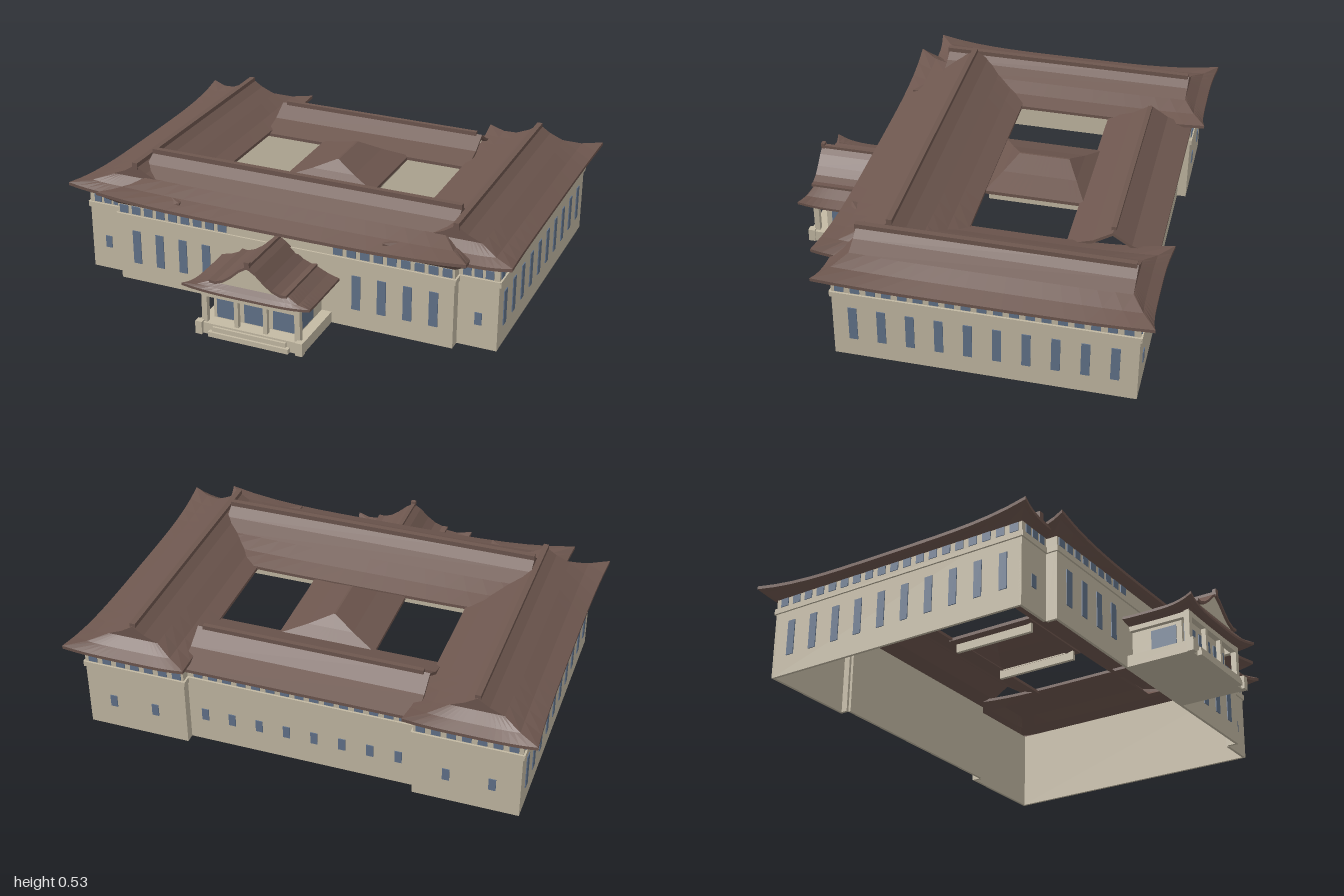
import * as THREE from 'three';

const wallMat = new THREE.MeshStandardMaterial({ color: 0xc4baa4, side: THREE.DoubleSide });
wallMat.name = 'cream stone';
const roofMat = new THREE.MeshStandardMaterial({ color: 0x6e574f, side: THREE.DoubleSide });
roofMat.name = 'brown tile';
const glassMat = new THREE.MeshStandardMaterial({ color: 0x62738b });
glassMat.name = 'blue glass';

function add(group, name, geometry, material, x = 0, y = 0, z = 0) {
  const mesh = new THREE.Mesh(geometry, material);
  mesh.name = name;
  mesh.position.set(x, y, z);
  group.add(mesh);
  return mesh;
}

// box given by its min and max corners
function block(group, name, material, x0, x1, y0, y1, z0, z1) {
  return add(group, name, new THREE.BoxGeometry(x1 - x0, y1 - y0, z1 - z0), material,
    (x0 + x1) / 2, (y0 + y1) / 2, (z0 + z1) / 2);
}

// rectangle ring with corners that flare out and sweep up
function ring([hw, hd, y, flare = 0, lift = 0], n = 16) {
  const pts = [];
  const corners = [[-1, 1], [1, 1], [1, -1], [-1, -1]];
  corners.forEach(([ax, az], i) => {
    const [bx, bz] = corners[(i + 1) % 4];
    for (let k = 0; k < n; k++) {
      const u = ax + (bx - ax) * k / n, v = az + (bz - az) * k / n;
      const c = Math.pow(Math.min(Math.abs(u), Math.abs(v)), 4);
      const grow = (s) => s * (Math.abs(s) === 1 ? c : Math.pow(Math.abs(s), 3)) * flare;
      pts.push([u * hw + grow(u), y + lift * c, v * hd + grow(v)]);
    }
  });
  return pts;
}

// surface through a series of rings, from the wall out to the eave and up
function ringLoft(specs, capTop = true) {
  const rings = specs.map((s) => ring(s)), pos = [];
  for (let r = 0; r + 1 < rings.length; r++) {
    const a = rings[r], b = rings[r + 1], m = a.length;
    for (let i = 0; i < m; i++) {
      const j = (i + 1) % m;
      pos.push(...a[i], ...a[j], ...b[j], ...a[i], ...b[j], ...b[i]);
    }
  }
  if (capTop) {
    const top = rings[rings.length - 1], y = specs[specs.length - 1][2];
    top.forEach((p, i) => pos.push(...p, ...top[(i + 1) % top.length], 0, y, 0));
  }
  const g = new THREE.BufferGeometry();
  g.setAttribute('position', new THREE.Float32BufferAttribute(pos, 3));
  g.computeVertexNormals();
  return g;
}

// symmetric roof profile extruded along z or x; half lists points from ridge to eave
function gable(half, length, thickness, alongX = false) {
  const left = half.slice(1).map(([x, y]) => [-x, y]).reverse();
  const outer = [...left, ...half];
  const pts = thickness
    ? [...outer, ...outer.slice().reverse().map(([x, y]) => [x, y - thickness])]
    : outer;
  const g = new THREE.ExtrudeGeometry(new THREE.Shape(pts.map((p) => new THREE.Vector2(...p))),
    { depth: length, bevelEnabled: false });
  g.translate(0, 0, -length / 2);
  if (alongX) g.rotateY(Math.PI / 2);
  return g;
}

function buildWalls(group) {
  const path = [[-0.935, 0.46], [-0.765, 0.46], [-0.765, 0.51], [0.765, 0.51], [0.765, 0.46], [0.935, 0.46],
    [0.935, -0.78], [0.49, -0.78], [0.49, -0.74], [-0.49, -0.74], [-0.49, -0.78], [-0.935, -0.78]];
  path.forEach(([ax, az], i) => {
    const [bx, bz] = path[(i + 1) % path.length];
    const len = Math.hypot(bx - ax, bz - az), turn = -Math.atan2(bz - az, bx - ax);
    const cx = (ax + bx) / 2, cz = (az + bz) / 2;
    const wall = new THREE.BoxGeometry(len, 0.37, 0.012).translate(0, 0.185, -0.006);
    add(group, 'outerWall', wall, wallMat, cx, 0, cz).rotation.y = turn;
    const band = new THREE.BoxGeometry(len + 0.01, 0.024, 0.016).translate(0, 0.303, 0);
    add(group, 'corniceBand', band, wallMat, cx, 0, cz).rotation.y = turn;
  });
}

function buildWindows(group) {
  const paneZ = (x, w, y0, y1, z) => block(group, 'window', glassMat, x - w / 2, x + w / 2, y0, y1, z - 0.003, z + 0.003);
  const paneX = (z, w, y0, y1, x) => block(group, 'window', glassMat, x - 0.003, x + 0.003, y0, y1, z - w / 2, z + w / 2);
  for (const s of [-1, 1]) {
    // wing sides
    for (let i = 0; i < 10; i++) paneX(0.376 - i * 0.1183, 0.036, 0.086, 0.243, s * 0.936);
    for (let i = 0; i < 19; i++) paneX(0.425 - i * 0.0645, 0.038, 0.32, 0.356, s * 0.936);
    // hall front
    for (let i = 0; i < 4; i++) paneZ(s * (0.68 - i * 0.112), 0.038, 0.085, 0.24, 0.511);
    for (let i = 0; i < 9; i++) paneZ(s * (0.735 - i * 0.059), 0.04, 0.32, 0.356, 0.511);
    // wing front and back ends
    paneZ(s * 0.853, 0.03, 0.105, 0.16, 0.461);
    for (let i = 0; i < 3; i++) paneZ(s * (0.8 + i * 0.047), 0.034, 0.32, 0.356, 0.461);
    for (const x of [0.63, 0.82]) paneZ(s * x, 0.03, 0.105, 0.16, -0.781);
    for (let i = 0; i < 7; i++) paneZ(s * (0.52 + i * 0.063), 0.038, 0.32, 0.356, -0.781);
  }
  // back hall
  for (let i = 0; i < 8; i++) paneZ(-0.42 + i * 0.12, 0.03, 0.105, 0.16, -0.741);
  for (let i = 0; i < 15; i++) paneZ(-0.441 + i * 0.063, 0.038, 0.32, 0.356, -0.741);
}

function buildRoofs(group) {
  // side wings: hipped skirt with a gable above
  for (const s of [-1, 1]) {
    add(group, 'wingSkirtRoof', ringLoft([
      [0.205, 0.615, 0.358], [0.235, 0.645, 0.368, 0.015, 0.022], [0.25, 0.66, 0.374, 0.02, 0.028],
      [0.25, 0.66, 0.388, 0.02, 0.028], [0.18, 0.615, 0.41, 0.006, 0.01], [0.11, 0.57, 0.443]], false),
    roofMat, s * 0.73, 0, -0.16);
    add(group, 'wingGableRoof', gable([[0, 0.5], [0.05, 0.468], [0.115, 0.441]], 1.14, 0), roofMat, s * 0.73, 0, -0.16);
    block(group, 'wingRidge', roofMat, s * 0.73 - 0.012, s * 0.73 + 0.012, 0.48, 0.512, -0.725, 0.415);
  }
  // front hall
  add(group, 'frontSkirtRoof', ringLoft([
    [0.765, 0.23, 0.358], [0.795, 0.26, 0.368, 0.015, 0.028], [0.81, 0.275, 0.374, 0.02, 0.036],
    [0.81, 0.275, 0.388, 0.02, 0.036], [0.74, 0.2, 0.416, 0.006, 0.01], [0.68, 0.125, 0.45]], false),
  roofMat, 0, 0, 0.28);
  add(group, 'frontGableRoof', gable([[0, 0.52], [0.06, 0.481], [0.13, 0.448]], 1.42, 0, true), roofMat, 0, 0, 0.28);
  block(group, 'frontRidge', roofMat, -0.71, 0.71, 0.5, 0.533, 0.268, 0.292);
  // back hall
  add(group, 'backRoof', gable([[0, 0.465], [0.08, 0.415], [0.19, 0.38]], 1.0, 0.014, true), roofMat, 0, 0, -0.59);
  block(group, 'backRidge', roofMat, -0.475, 0.475, 0.45, 0.477, -0.6, -0.58);
  // link between the courtyards
  add(group, 'linkRoof', ringLoft([
    [0.16, 0.17, 0.355], [0.21, 0.215, 0.365], [0.21, 0.215, 0.38], [0.1, 0.16, 0.416], [0.004, 0.11, 0.455]]),
  roofMat, 0, 0, -0.205);
  for (const s of [-1, 1]) block(group, 'linkBeam', wallMat, s * 0.17 - 0.008, s * 0.17 + 0.008, 0.32, 0.362, -0.4, 0);
}

function buildPorch() {
  const porch = new THREE.Group();
  porch.name = 'entrancePorch';
  // podium and steps
  block(porch, 'podium', wallMat, -0.235, 0.235, 0, 0.05, 0.5, 0.8);
  block(porch, 'lowerStep', wallMat, -0.18, 0.18, 0, 0.022, 0.8, 0.82);
  block(porch, 'upperStep', wallMat, -0.165, 0.165, 0.022, 0.042, 0.8, 0.81);
  // enclosed lobby with glazing
  block(porch, 'lobby', wallMat, -0.19, 0.19, 0.05, 0.2, 0.5, 0.74);
  for (const [x, w] of [[-0.127, 0.095], [0, 0.1], [0.127, 0.095]])
    block(porch, 'lobbyWindow', glassMat, x - w / 2, x + w / 2, 0.055, 0.163, 0.738, 0.744);
  block(porch, 'lintel', wallMat, -0.215, 0.215, 0.168, 0.2, 0.765, 0.79);
  for (const s of [-1, 1]) {
    block(porch, 'sideWindow', glassMat, s * 0.191 - 0.003, s * 0.191 + 0.003, 0.06, 0.155, 0.6, 0.715);
    block(porch, 'cornerColumn', wallMat, s * 0.208 - 0.012, s * 0.208 + 0.012, 0.05, 0.2, 0.766, 0.79);
    block(porch, 'frontColumn', wallMat, s * 0.065 - 0.009, s * 0.065 + 0.009, 0.05, 0.17, 0.768, 0.788);
    block(porch, 'podiumPier', wallMat, s * 0.225 - 0.015, s * 0.225 + 0.015, 0, 0.058, 0.785, 0.815);
    block(porch, 'sideBeam', wallMat, s * 0.205 - 0.01, s * 0.205 + 0.01, 0.168, 0.2, 0.5, 0.78);
  }
  // roof: swept skirt, curved gable and pediment
  add(porch, 'porchSkirtRoof', ringLoft([
    [0.2, 0.16, 0.188], [0.25, 0.185, 0.192, 0.01, 0.018], [0.268, 0.2, 0.2, 0.016, 0.024],
    [0.268, 0.2, 0.211, 0.016, 0.024], [0.22, 0.19, 0.226, 0.004, 0.006], [0.17, 0.175, 0.25]]),
  roofMat, 0, 0, 0.62);
  const half = [[0, 0.354], [0.035, 0.332], [0.075, 0.295], [0.11, 0.27], [0.145, 0.257], [0.172, 0.26]];
  add(porch, 'porchGableRoof', gable(half, 0.31, 0.012), roofMat, 0, 0, 0.655);
  add(porch, 'pediment', gable([[0, 0.343], [0.035, 0.321], [0.075, 0.284], [0.11, 0.259], [0.14, 0.247]], 0.27, 0),
    wallMat, 0, 0, 0.664);
  block(porch, 'porchRidge', roofMat, -0.009, 0.009, 0.34, 0.361, 0.5, 0.81);
  block(porch, 'ridgeFinial', roofMat, -0.011, 0.011, 0.34, 0.372, 0.795, 0.812);
  return porch;
}

export function createModel() {
  const model = new THREE.Group();
  model.name = 'courtyardHall';
  buildWalls(model);
  buildWindows(model);
  buildRoofs(model);
  model.add(buildPorch());
  return model;
}
